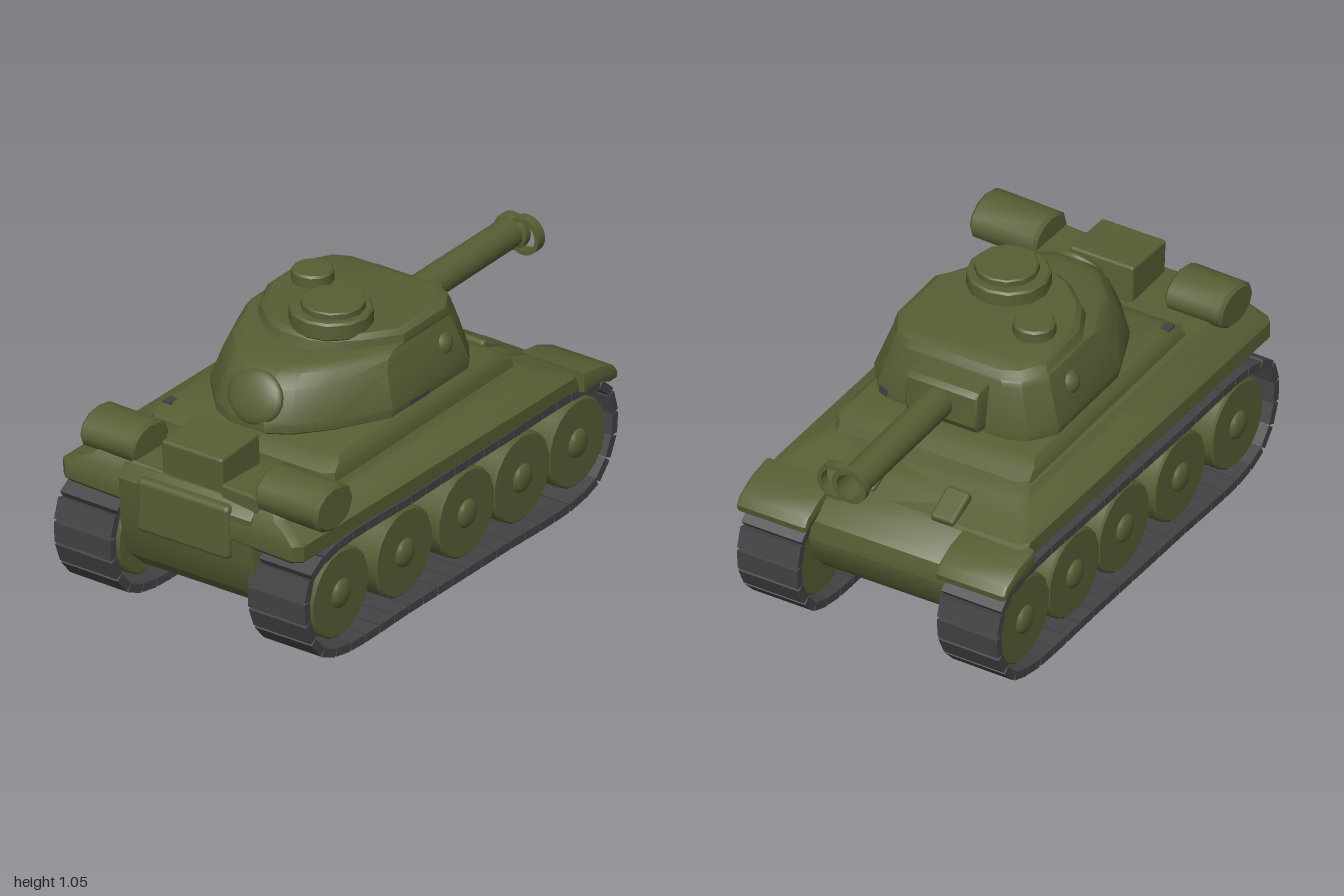
import * as THREE from 'three';
import { toCreasedNormals } from 'three/addons/utils/BufferGeometryUtils.js';
import { RoundedBoxGeometry } from 'three/addons/geometries/RoundedBoxGeometry.js';

const green = new THREE.MeshStandardMaterial({ color: 0x565e34 });
green.name = 'olive paint';
const dark = new THREE.MeshStandardMaterial({ color: 0x434345 });
dark.name = 'track steel';

function add(parent, name, geo, mat = green, pos = [0, 0, 0]) {
  const m = new THREE.Mesh(geo, mat);
  m.name = name;
  m.position.set(...pos);
  parent.add(m);
  return m;
}

// Skin over horizontal rings; each ring is { y, pts: [[x, z], ...] }, counter-clockwise from above
function loft(rings, crease = 0.5) {
  const n = rings[0].pts.length, pos = [], idx = [];
  rings.forEach(r => r.pts.forEach(([x, z]) => pos.push(x, r.y, z)));
  for (let j = 0; j < rings.length - 1; j++) for (let i = 0; i < n; i++) {
    const k = (i + 1) % n, a = j * n + i, b = j * n + k;
    idx.push(a, b, b + n, a, b + n, a + n);
  }
  const top = (rings.length - 1) * n;
  for (let i = 1; i < n - 1; i++) {
    idx.push(0, i + 1, i);
    idx.push(top, top + i, top + i + 1);
  }
  const g = new THREE.BufferGeometry();
  g.setAttribute('position', new THREE.Float32BufferAttribute(pos, 3));
  g.setIndex(idx);
  return toCreasedNormals(g, crease);
}

// Rectangle with cut corners
function rect(y, x0, x1, h, c = 0.03) {
  return { y, pts: [[x1, h - c], [x1, c - h], [x1 - c, -h], [x0 + c, -h],
    [x0, c - h], [x0, h - c], [x0 + c, h], [x1 - c, h]] };
}

// Side profile in x and y, pulled along z and centred
function prism(pts, width, bevel = 0.015) {
  const s = new THREE.Shape(pts.map(p => new THREE.Vector2(...p)));
  const g = new THREE.ExtrudeGeometry(s, { depth: width - 2 * bevel, bevelThickness: bevel,
    bevelSize: bevel, bevelOffset: -bevel, bevelSegments: 2 });
  g.translate(0, 0, -width / 2 + bevel);
  return toCreasedNormals(g, 0.6);
}

// Solid of revolution from [radius, height] points
function turned(pts, sides) {
  const g = new THREE.LatheGeometry(pts.map(p => new THREE.Vector2(...p)), sides);
  return toCreasedNormals(g, 0.6);
}

function disc(r, h, sides, bevel = 0.008) {
  return turned([[0, 0], [r - bevel, 0], [r, bevel], [r, h - bevel], [r - bevel, h], [0, h]], sides);
}

// Track loop with its road wheels; side is +1 or -1
function runningGear(side, z, yaw) {
  const g = new THREE.Group();
  g.name = side > 0 ? 'nearRunningGear' : 'farRunningGear';
  const path = new THREE.CatmullRomCurve3([[-0.74, 0.026], [-0.3, 0.022], [0.2, 0.022], [0.65, 0.026],
    [0.78, 0.07], [0.86, 0.18], [0.875, 0.29], [0.83, 0.4], [0.72, 0.445], [0.2, 0.455],
    [-0.3, 0.453], [-0.8, 0.445], [-0.92, 0.39], [-0.955, 0.28], [-0.93, 0.16], [-0.86, 0.07]]
    .map(([x, y]) => new THREE.Vector3(x, y, 0)), true, 'centripetal');
  const count = 48, step = path.getLength() / count;
  const link = new THREE.BoxGeometry(step * 0.93, 0.032, 0.25);
  for (let i = 0; i < count; i++) {
    const p = path.getPointAt(i / count), t = path.getTangentAt(i / count);
    add(g, 'trackLink', link, dark, [p.x, p.y, 0]).rotation.z = Math.atan2(t.y, t.x);
  }
  const wheel = disc(0.172, 0.21, 18).translate(0, -0.105, 0).rotateX(Math.PI / 2);
  const hub = new THREE.SphereGeometry(0.055, 14, 8).scale(1, 1, 0.4);
  for (const x of [-0.73, -0.35, 0.02, 0.35, 0.68]) {
    add(g, 'roadWheel', wheel, green, [x, 0.243, 0]);
    add(g, 'wheelHub', hub, green, [x, 0.243, side * 0.105]);
  }
  g.rotation.y = yaw;
  g.position.z = z;
  return g;
}

function buildHull() {
  const g = new THREE.Group();
  g.name = 'hull';
  add(g, 'lowerHull', prism([[-0.84, 0.17], [0.6, 0.17], [0.72, 0.21], [0.79, 0.29], [0.815, 0.38],
    [0.8, 0.45], [0.74, 0.505], [0.6, 0.57], [0.47, 0.615], [-0.95, 0.62], [-0.985, 0.57],
    [-0.975, 0.4], [-0.93, 0.25]], 0.58, 0.01));
  for (const s of [-1, 1])
    add(g, 'darkSidePanel', new THREE.BoxGeometry(0.77, 0.12, 0.008), dark, [0.11, 0.38, s * 0.292]);

  // Wide upper body over the tracks, leaning slightly
  const upper = add(g, 'upperHull', loft([rect(0.46, -0.96, 0.69, 0.51), rect(0.48, -0.98, 0.71, 0.53),
    rect(0.54, -0.985, 0.67, 0.53), rect(0.575, -0.97, 0.57, 0.48), rect(0.6, -0.96, 0.52, 0.43),
    rect(0.622, -0.94, 0.47, 0.41)]), green, [0, 0, -0.022]);
  upper.rotation.set(0.025, -0.018, 0);
  add(g, 'turretPlatform', loft([rect(0.61, -0.66, 0.48, 0.4), rect(0.645, -0.655, 0.465, 0.395),
    rect(0.665, -0.62, 0.42, 0.385), rect(0.685, -0.58, 0.38, 0.365)]));
  add(g, 'platformCornerPatch', new THREE.BoxGeometry(0.045, 0.008, 0.035), dark, [-0.575, 0.682, -0.355]);
  add(g, 'rearPlate', new RoundedBoxGeometry(0.06, 0.21, 0.4, 2, 0.02), green, [-0.97, 0.495, 0]);

  // Front mudguards and glacis blocks
  const guard = prism([[0.66, 0.46], [0.78, 0.455], [0.82, 0.435], [0.865, 0.435], [0.87, 0.46],
    [0.85, 0.49], [0.77, 0.525], [0.66, 0.54]], 0.29);
  add(g, 'nearMudguard', guard, green, [0, 0, 0.41]);
  add(g, 'farMudguard', guard, green, [0, 0, -0.41]);
  for (const [x, z] of [[0.585, 0.16], [0.615, -0.185]])
    add(g, 'glacisBlock', new RoundedBoxGeometry(0.14, 0.075, 0.1, 2, 0.015), green, [x, 0.555, z])
      .rotation.z = -0.45;

  // Drums and stowage boxes on the rear deck
  const drum = (name, r, len, stretch, pos, turn) => {
    const m = add(g, name, disc(r, len, 12, 0.012).translate(0, -len / 2, 0).rotateX(Math.PI / 2)
      .scale(stretch, 0.95, 1), green, pos);
    m.rotation.y = turn;
  };
  drum('nearDrum', 0.093, 0.28, 1.2, [-0.868, 0.663, 0.435], -0.04);
  drum('farDrum', 0.083, 0.24, 1.35, [-0.84, 0.663, -0.365], -0.03);
  add(g, 'stowageBox', new RoundedBoxGeometry(0.23, 0.15, 0.265, 2, 0.012), green, [-0.83, 0.685, 0.005])
    .rotation.z = 0.06;
  add(g, 'lowStowageBox', new RoundedBoxGeometry(0.22, 0.08, 0.17, 2, 0.012), green, [-0.85, 0.62, 0.225])
    .rotation.y = -0.06;
  return g;
}

function buildTurret() {
  const g = new THREE.Group();
  g.name = 'turret';
  // Faceted outline: f front, r rear, w half-width
  const ring = (y, f, r, w, zo = 0) => ({ y, pts: [[f, 0.62 * w], [f, -0.62 * w], [f - 0.03, -0.82 * w],
    [f - 0.12, -w], [r + 0.43 * (f - r), -w], [r + 0.2 * (f - r), -0.77 * w],
    [r + 0.05 * (f - r), -0.44 * w], [r, -0.2 * w], [r, 0.2 * w], [r + 0.05 * (f - r), 0.42 * w],
    [r + 0.18 * (f - r), 0.7 * w], [r + 0.38 * (f - r), w], [f - 0.12, w],
    [f - 0.03, 0.82 * w]].map(([x, z]) => [x, z + zo]) });
  add(g, 'turretBody', loft([ring(0.68, 0.3, -0.58, 0.34), ring(0.7, 0.33, -0.61, 0.375),
    ring(0.735, 0.33, -0.61, 0.38), ring(0.85, 0.31, -0.56, 0.34), ring(0.895, 0.3, -0.51, 0.325),
    ring(0.912, 0.295, -0.45, 0.318), ring(0.918, 0.293, -0.34, 0.315, 0.005),
    ring(0.948, 0.275, -0.33, 0.305, 0.01), ring(0.964, 0.24, -0.31, 0.28, 0.01)]));
  add(g, 'rearBulge', new THREE.SphereGeometry(1, 18, 12).scale(0.035, 0.1, 0.115), green, [-0.567, 0.805, 0.01])
    .rotation.z = -0.4;

  // Dark joints where the turret meets the platform
  add(g, 'sideJoint', new THREE.BoxGeometry(0.12, 0.018, 0.008), dark, [-0.09, 0.712, 0.376]);
  add(g, 'frontJoint', new THREE.BoxGeometry(0.008, 0.016, 0.24), dark, [0.326, 0.69, 0.01]);
  add(g, 'cornerJoint', new THREE.BoxGeometry(0.008, 0.03, 0.04), dark, [0.315, 0.717, 0.278])
    .rotation.y = -0.38;

  // Cupola and loader hatch
  add(g, 'cupola', disc(0.152, 0.07, 12), green, [-0.18, 0.95, 0.06]);
  add(g, 'cupolaLid', disc(0.116, 0.035, 12, 0.005), green, [-0.18, 1.012, 0.068]);
  add(g, 'loaderHatch', disc(0.077, 0.06, 12), green, [0.03, 0.95, -0.172]);

  // Round side ports
  const port = new THREE.SphereGeometry(0.055, 14, 10);
  add(g, 'nearPort', port, green, [0.115, 0.82, 0.31]);
  add(g, 'farPort', port, green, [0.06, 0.82, -0.315]);

  // Mantlet and hollow gun barrel
  add(g, 'mantlet', prism([[0.24, 0.7], [0.37, 0.72], [0.39, 0.75], [0.385, 0.87], [0.37, 0.89], [0.24, 0.9]],
    0.3, 0.012));
  const barrel = turned([[0.06, 0], [0.058, 0.6], [0.07, 0.605], [0.07, 0.635], [0.05, 0.635],
    [0.05, 0.45], [0, 0.45]], 18).rotateZ(-Math.PI / 2);
  add(g, 'barrel', barrel, green, [0.36, 0.808, 0.012]);

  // Open muzzle ring, set off to one side
  const arc = new THREE.Shape();
  arc.absarc(0, 0, 0.072, 0.9, 2 * Math.PI - 0.9, false);
  arc.absarc(0, 0, 0.055, 2 * Math.PI - 0.9, 0.9, true);
  const muzzle = new THREE.ExtrudeGeometry(arc, { depth: 0.04, bevelEnabled: false, curveSegments: 14 });
  add(g, 'muzzleRing', muzzle.rotateY(Math.PI / 2), green, [0.96, 0.808, 0.068]);
  return g;
}

export function createModel() {
  const model = new THREE.Group();
  model.name = 'tank';
  model.add(buildHull(), buildTurret(), runningGear(1, 0.4, -0.01), runningGear(-1, -0.432, -0.021));
  return model;
}
